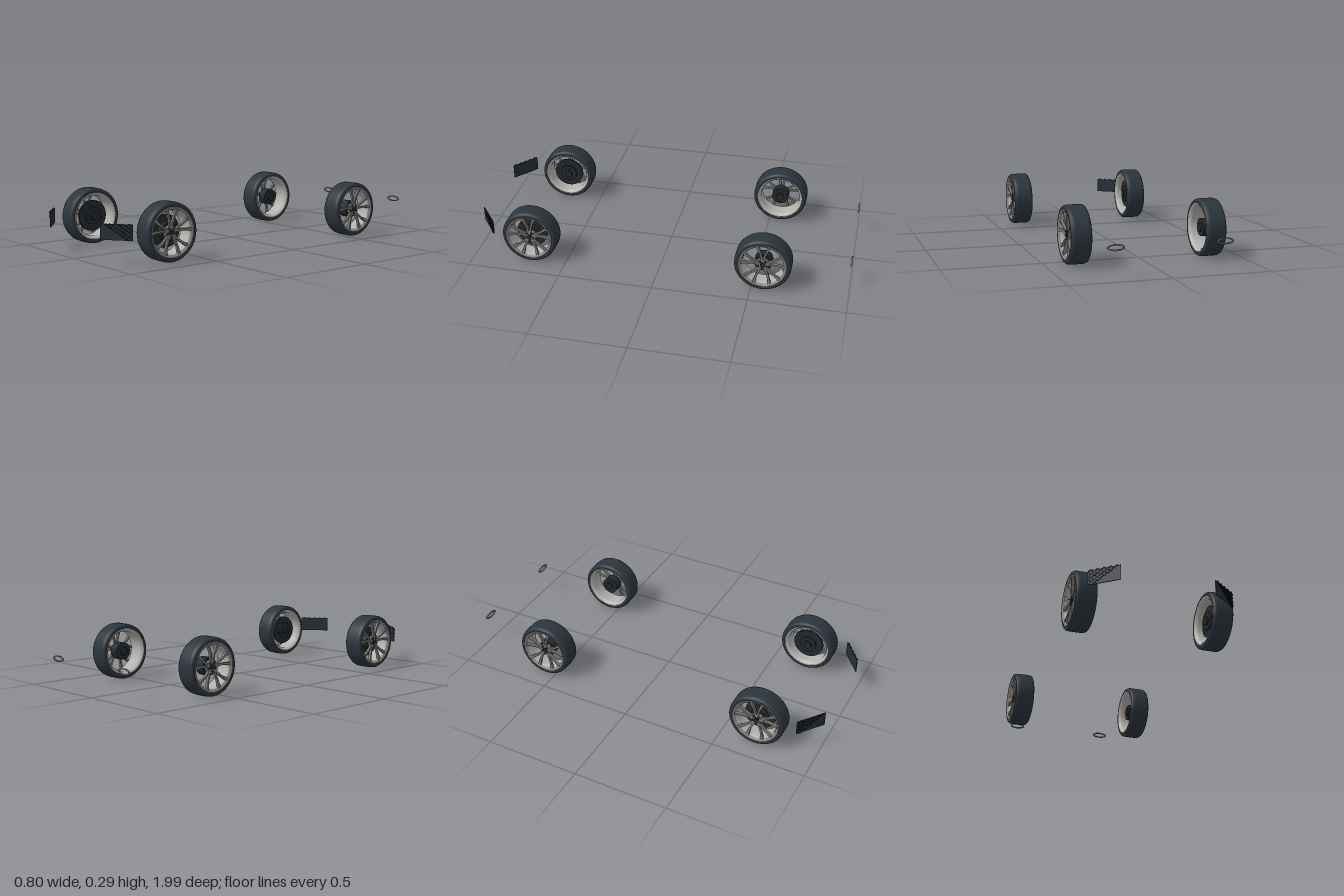
import * as THREE from 'three';

const material = (name, color) => {
  const m = new THREE.MeshStandardMaterial({ color });
  m.name = name;
  return m;
};

export function createModel() {
  const rubber = material('tyre rubber', 0x2c353d);
  const silver = material('rim silver', 0xb4b2ad);
  const grey = material('spoke grey', 0x83817e);
  const dark = material('brake dark', 0x23292e);
  const plateDark = material('panel slate', 0x272e35);
  const black = material('mesh black', 0x12171a);

  const model = new THREE.Group();
  model.name = 'carParts';
  const add = (parent, name, geo, mat, x = 0, y = 0, z = 0) => {
    const m = new THREE.Mesh(geo, mat);
    m.name = name;
    m.position.set(x, y, z);
    parent.add(m);
    return m;
  };

  // Everything on a wheel turns around x; +x is its outer side
  const lathe = (pts) => new THREE.LatheGeometry(pts.map(([r, x]) => new THREE.Vector2(r, x)), 64)
    .rotateZ(-Math.PI / 2);
  const disc = (r, width, sides = 40) => new THREE.CylinderGeometry(r, r, width, sides).rotateZ(-Math.PI / 2);

  const tyreGeo = lathe([[0.118, -0.044], [0.124, -0.0505], [0.134, -0.0525], [0.141, -0.049], [0.1455, -0.042],
    [0.147, -0.03], [0.147, 0.03], [0.1455, 0.042], [0.141, 0.049], [0.134, 0.0525], [0.124, 0.0505], [0.118, 0.044]]);
  const barrelGeo = lathe([[0.118, -0.046], [0.118, 0.046], [0.109, 0.04], [0.107, 0.03], [0.107, -0.034],
    [0.113, -0.042], [0.118, -0.046]]);
  const lipGeo = lathe([[0.116, 0.042], [0.125, 0.046], [0.126, 0.0505], [0.122, 0.052], [0.117, 0.05], [0.11, 0.042]]);
  const innerLipGeo = lathe([[0.112, -0.042], [0.117, -0.049], [0.122, -0.0515], [0.126, -0.0505], [0.124, -0.045]]);

  // Spoke leaning to one side of its pair, dished towards the hub
  const polar = (r, a) => new THREE.Vector2(r * Math.sin(a), r * Math.cos(a));
  const spokeGeo = (side) => {
    const shape = new THREE.Shape([
      polar(0.022, side * 0.12 - 0.22), polar(0.07, side * 0.19 - 0.065), polar(0.115, side * 0.27 - 0.06),
      polar(0.115, side * 0.27 + 0.06), polar(0.07, side * 0.19 + 0.065), polar(0.022, side * 0.12 + 0.22),
    ]);
    const geo = new THREE.ExtrudeGeometry(shape, {
      depth: 0.01, bevelEnabled: true, bevelSize: 0.0012, bevelThickness: 0.002, bevelSegments: 1,
    });
    const p = geo.attributes.position;
    for (let i = 0; i < p.count; i++) {
      p.setZ(i, p.getZ(i) + 0.024 + 0.11 * Math.hypot(p.getX(i), p.getY(i)));
    }
    geo.computeVertexNormals();
    return geo.rotateY(Math.PI / 2);
  };
  const spokes = [spokeGeo(-1), spokeGeo(1)];

  const makeWheel = (isFront) => {
    const wheel = new THREE.Group();
    wheel.name = isFront ? 'frontWheel' : 'rearWheel';
    add(wheel, 'tyre', tyreGeo, rubber);
    add(wheel, 'rimBarrel', barrelGeo, silver);
    add(wheel, 'rimLip', lipGeo, grey);
    add(wheel, 'innerRimLip', innerLipGeo, silver);
    for (let i = 0; i < 5; i++) {
      const a = i * Math.PI * 2 / 5;
      for (const geo of spokes) add(wheel, 'spoke', geo, grey).rotation.x = a;
      // Lug nuts between the spoke pairs
      const b = a + Math.PI / 5;
      add(wheel, 'lugNut', disc(0.0045, 0.008, 6), dark, 0.038, 0.022 * Math.cos(b), 0.022 * Math.sin(b));
    }
    add(wheel, 'hub', disc(0.032, 0.018), grey, 0.027);
    add(wheel, 'hubCap', disc(0.013, 0.012, 24), dark, 0.036);
    // Brakes on the inner side
    add(wheel, 'brakeDrum', disc(0.046, 0.05), dark, -0.007);
    add(wheel, 'axleStub', disc(0.022, 0.012, 24), dark, -0.036);
    if (isFront) {
      add(wheel, 'brakeDisc', disc(0.082, 0.012, 48), dark, -0.016);
    }
    return wheel;
  };

  for (const side of [-1, 1]) {
    for (const isFront of [true, false]) {
      const wheel = makeWheel(isFront);
      wheel.position.set(side * 0.3475, 0.147, isFront ? 0.687 : -0.555);
      if (side < 0) wheel.rotation.y = Math.PI;
      model.add(wheel);
    }
  }

  // Angled front panels with a diamond mesh over the upper outer part
  const region = [[-0.082, 0.041], [0.052, -0.0385], [0.082, -0.0385], [0.082, 0.041]];
  const clip = (slope, offset) => {
    let lo = -1, hi = 1;
    region.forEach(([ax, ay], i) => {
      const [bx, by] = region[(i + 1) % region.length];
      const ex = bx - ax, ey = by - ay;
      const c0 = ex * (offset - ay) + ey * ax;
      const c1 = ex * slope - ey;
      if (c1 > 1e-9) lo = Math.max(lo, -c0 / c1);
      else if (c1 < -1e-9) hi = Math.min(hi, -c0 / c1);
    });
    return [lo, hi];
  };
  for (const side of [-1, 1]) {
    const panel = new THREE.Group();
    panel.name = 'grillePanel';
    panel.position.set(side * 0.3, 0.1625, 0.943);
    panel.rotation.y = side * 0.655;
    add(panel, 'backPlate', new THREE.BoxGeometry(0.163, 0.077, 0.004), plateDark);
    for (const slope of [-0.62, 0.62]) {
      for (let k = -5; k <= 5; k++) {
        const [lo, hi] = clip(slope, k * 0.02);
        if (hi - lo < 0.004) continue;
        const mid = (lo + hi) / 2;
        const length = (hi - lo) * Math.hypot(1, slope);
        const bar = add(panel, 'meshBar', new THREE.BoxGeometry(length, 0.0042, 0.004), black,
          side * mid, slope * mid + k * 0.02, 0.0035);
        bar.rotation.z = side * Math.atan(slope);
      }
    }
    model.add(panel);
  }

  // Oval exhaust trims at the back
  const oval = new THREE.Shape().absellipse(0, 0, 0.042, 0.016, 0, Math.PI * 2, false, 0);
  oval.holes.push(new THREE.Path().absellipse(0, 0, 0.034, 0.0095, 0, Math.PI * 2, true, 0));
  const trimGeo = new THREE.ExtrudeGeometry(oval, { depth: 0.007, bevelEnabled: false, curveSegments: 32 });
  for (const x of [-0.261, 0.274]) add(model, 'exhaustTrim', trimGeo, grey, x, 0.16, -1);

  return model;
}
